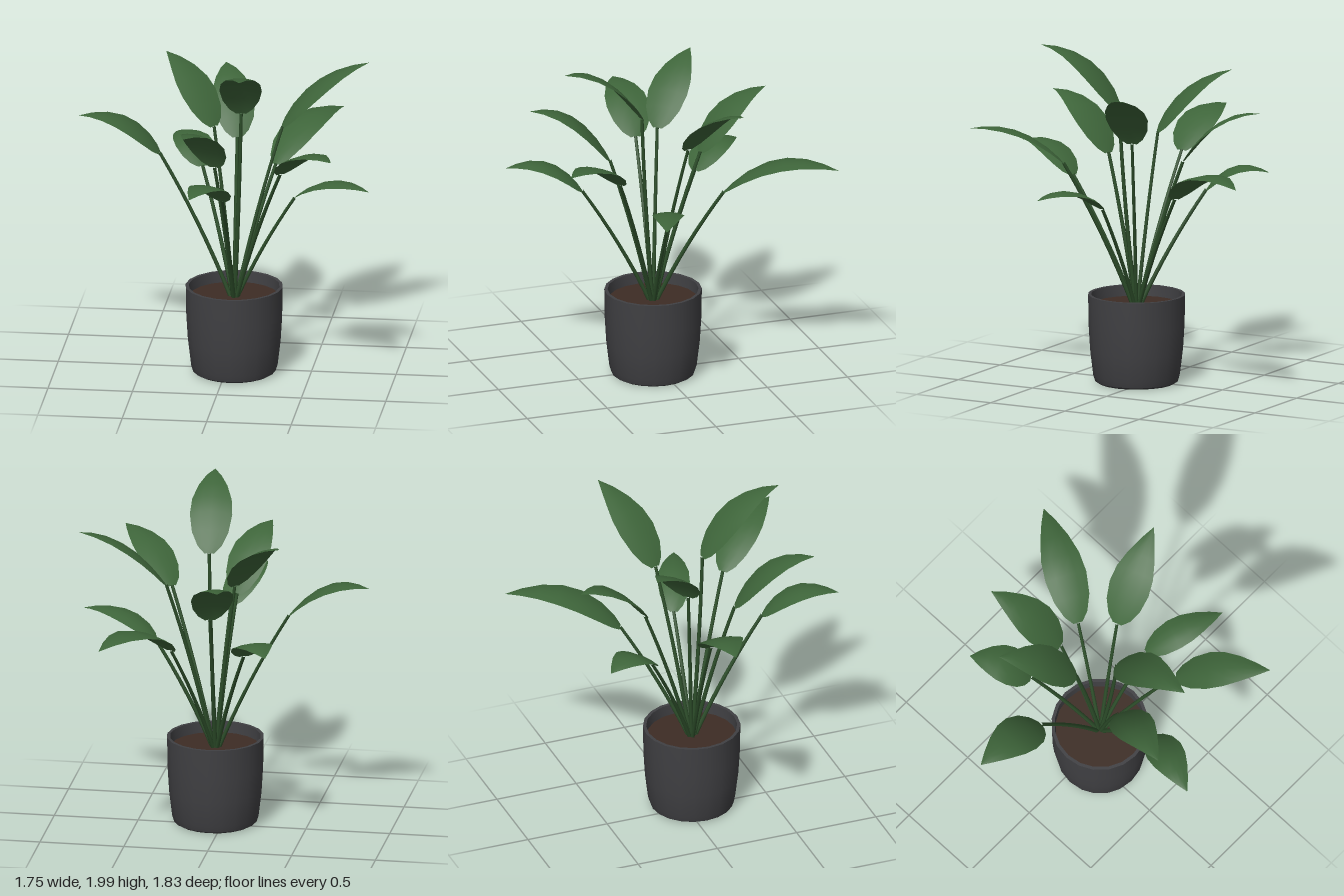
import * as THREE from 'three';
import { toCreasedNormals } from 'three/addons/utils/BufferGeometryUtils.js';

const potMat = new THREE.MeshStandardMaterial({ color: 0x404043 });
const soilMat = new THREE.MeshStandardMaterial({ color: 0x3d2c24 });
const stemMat = new THREE.MeshStandardMaterial({ color: 0x2d4e2a });
const leafMat = new THREE.MeshStandardMaterial({ color: 0x3e653a, side: THREE.DoubleSide });

const CENTER = new THREE.Vector3(0.048, 0, 0.052);
const V = (x, y, z) => new THREE.Vector3(x, y, z);

// leaf half-width along its length: [position, share of the greatest half-width]
const OUTLINE = [[0, 0.22], [0.08, 0.56], [0.22, 0.86], [0.4, 1], [0.56, 0.93], [0.72, 0.68], [0.87, 0.35], [1, 0.01]];

// each plant: leaf base, leaf tip, height the leaf arches towards, half-width, stem bow
const LEAVES = [
  { base: [-0.40, 1.32, 0.00], tip: [-0.88, 1.52, -0.03], arch: 1.60, width: 0.13 },
  { base: [-0.18, 1.15, -0.29], tip: [-0.36, 1.25, -0.615], arch: 1.37, width: 0.12 },
  { base: [0.03, 1.35, -0.25], tip: [-0.09, 1.66, -0.70], arch: 1.68, width: 0.125 },
  { base: [0.25, 1.17, -0.32], tip: [0.58, 1.34, -0.915], arch: 1.48, width: 0.125 },
  { base: [0.32, 1.49, -0.07], tip: [0.81, 1.845, -0.24], arch: 1.81, width: 0.125 },
  { base: [0.41, 1.10, 0.08], tip: [0.87, 1.21, 0.26], arch: 1.31, width: 0.095 },
  { base: [0.36, 1.34, 0.37], tip: [0.71, 1.565, 0.80], arch: 1.61, width: 0.115 },
  { base: [0.10, 1.63, 0.14], tip: [0.15, 1.985, 0.64], arch: 2.00, width: 0.125, bow: 0.75 },
  { base: [-0.04, 1.34, 0.29], tip: [-0.175, 1.655, 0.74], arch: 1.69, width: 0.125 },
  { base: [0.03, 1.20, 0.49], tip: [-0.115, 1.34, 0.915], arch: 1.45, width: 0.11 },
  { base: [-0.08, 1.49, -0.02], tip: [-0.40, 1.835, -0.34], arch: 1.81, width: 0.125 },
];

// arched blade with edges drooping a little from the midrib
function leafGeometry(base, tip, arch, width) {
  const ctrl = base.clone().lerp(tip, 0.42).setY(arch);
  const curve = new THREE.QuadraticBezierCurve3(base, ctrl, tip);
  const dir = tip.clone().sub(base).setY(0).normalize();
  const side = V(dir.z, 0, -dir.x);
  const across = 4, row = across + 1;
  const pos = [], index = [];
  OUTLINE.forEach(([t, share], i) => {
    const p = curve.getPointAt(t);
    for (let j = 0; j <= across; j++) {
      const s = (j / across) * 2 - 1;
      const q = p.clone().addScaledVector(side, s * width * share);
      pos.push(q.x, q.y - 0.02 * s * s * share, q.z);
      if (i < OUTLINE.length - 1 && j < across) {
        const a = i * row + j;
        index.push(a, a + row, a + 1, a + 1, a + row, a + row + 1);
      }
    }
  });
  const geo = new THREE.BufferGeometry();
  geo.setAttribute('position', new THREE.Float32BufferAttribute(pos, 3));
  geo.setIndex(index);
  geo.computeVertexNormals();
  return geo;
}

// slender stem from the soil to just inside the blade
function stemGeometry(base, tip, arch, bow) {
  const out = base.clone().sub(CENTER).setY(0);
  const root = V(CENTER.x, 0.45, CENTER.z).addScaledVector(out, 0.04);
  const ctrl = root.clone().lerp(base, 0.52);
  ctrl.x = CENTER.x + out.x * bow;
  ctrl.z = CENTER.z + out.z * bow;
  const curve = new THREE.QuadraticBezierCurve3(root, ctrl, base);
  const segs = 8, sides = 6;
  const geo = new THREE.TubeGeometry(curve, segs, 0.013, sides);
  // taper towards the leaf
  const p = geo.attributes.position;
  for (let i = 0; i <= segs; i++) {
    const c = curve.getPointAt(i / segs), k = 1 - 0.25 * (i / segs);
    for (let j = 0; j <= sides; j++) {
      const n = i * (sides + 1) + j;
      const v = new THREE.Vector3().fromBufferAttribute(p, n).sub(c).multiplyScalar(k).add(c);
      p.setXYZ(n, v.x, v.y, v.z);
    }
  }
  return geo;
}

export function createModel() {
  const model = new THREE.Group();
  const add = (name, geo, mat, parent = model) => {
    const mesh = new THREE.Mesh(geo, mat);
    mesh.name = name;
    parent.add(mesh);
    return mesh;
  };

  // pot with a rounded foot and a hollow rim
  const profile = [[0, 0], [0.225, 0], [0.245, 0.012], [0.257, 0.05], [0.275, 0.2], [0.284, 0.35],
    [0.287, 0.53], [0.268, 0.53], [0.262, 0.44]].map(([r, y]) => new THREE.Vector2(r, y));
  const pot = add('pot', toCreasedNormals(new THREE.LatheGeometry(profile, 20), 0.7), potMat);
  pot.position.copy(CENTER);

  // soil
  const soil = add('soil', new THREE.CircleGeometry(0.266, 20).rotateX(-Math.PI / 2), soilMat);
  soil.position.set(CENTER.x, 0.465, CENTER.z);

  // stems and leaves
  LEAVES.forEach(({ base, tip, arch, width, bow = 0.44 }, i) => {
    const plant = new THREE.Group();
    plant.name = `leafStalk${i + 1}`;
    const b = V(...base), t = V(...tip);
    add('stem', stemGeometry(b, t, arch, bow), stemMat, plant);
    add('leaf', leafGeometry(b, t, arch, width), leafMat, plant);
    model.add(plant);
  });

  return model;
}
